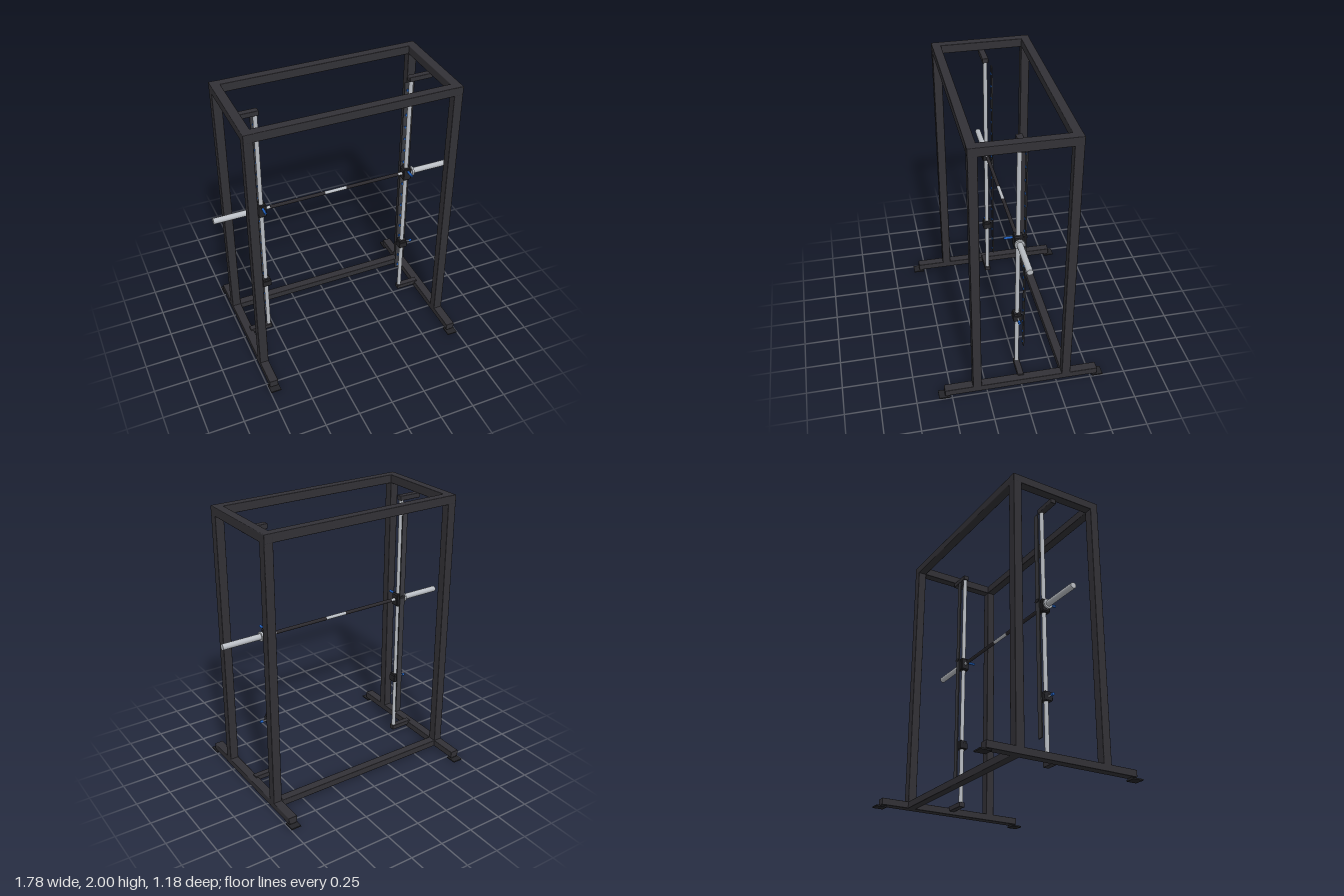
import * as THREE from 'three';
import { RoundedBoxGeometry } from 'three/addons/geometries/RoundedBoxGeometry.js';

const mat = (name, color) => new THREE.MeshStandardMaterial({ name, color });

export function createModel() {
  const model = new THREE.Group();
  model.name = 'smithRack';
  const frame = mat('frame charcoal', 0x323136);
  const dark = mat('carriage black', 0x242428);
  const grip = mat('grip black', 0x2b292d);
  const plate = mat('plate grey', 0x3a3b40);
  const steel = mat('steel', 0xb9bdc3);
  const blue = mat('handle blue', 0x1f5cb8);

  const add = (name, geo, material, x, y, z, parent = model) => {
    const mesh = new THREE.Mesh(geo, material);
    mesh.name = name;
    mesh.position.set(x, y, z);
    parent.add(mesh);
    return mesh;
  };
  const tube = (w, h, d, r = 0.005) => new RoundedBoxGeometry(w, h, d, 1, r);
  // Cylinder along a chosen axis
  const rod = (axis, r, length, sides = 24) => {
    const g = new THREE.CylinderGeometry(r, r, length, sides);
    if (axis === 'x') g.rotateZ(Math.PI / 2);
    if (axis === 'z') g.rotateX(Math.PI / 2);
    return g;
  };
  // Block with cut corners, seen from the front
  const cutBlock = (w, h, d, c) => {
    const a = w / 2, b = h / 2;
    const shape = new THREE.Shape([
      [-a + c, -b], [a - c, -b], [a, -b + c], [a, b - c],
      [a - c, b], [-a + c, b], [-a, b - c], [-a, -b + c],
    ].map(([x, y]) => new THREE.Vector2(x, y)));
    return new THREE.ExtrudeGeometry(shape, { depth: d - 0.01, bevelThickness: 0.005, bevelSize: 0.005, bevelOffset: -0.005, bevelSegments: 1 })
      .translate(0, 0, -d / 2 + 0.005);
  };

  // Cross beams: two at the top, one at the rear of the base
  for (const z of [-0.32, 0.32]) add('topCrossBeam', tube(1.37, 0.062, 0.062), frame, 0, 1.969, z);
  add('baseCrossBeam', tube(1.37, 0.049, 0.062), frame, 0, 0.0405, -0.32);

  const barY = 1.158;
  for (const s of [-1, 1]) {
    const side = new THREE.Group();
    side.name = s > 0 ? 'leftSide' : 'rightSide';
    model.add(side);
    const put = (name, geo, m, x, y, z) => add(name, geo, m, s * x, y, z, side);

    // Frame side
    put('topSideBeam', tube(0.064, 0.062, 0.704), frame, 0.709, 1.969, 0);
    put('baseRail', tube(0.064, 0.049, 1.1), frame, 0.709, 0.0405, 0);
    for (const z of [-1, 1]) {
      put('post', tube(0.064, 1.89, 0.062), frame, 0.709, 1.0, z * 0.32);
      put('footPad', new THREE.BoxGeometry(0.074, 0.009, 0.078), dark, 0.709, 0.0045, z * 0.553);
      put('footRiser', new THREE.BoxGeometry(0.05, 0.012, 0.03), dark, 0.709, 0.012, z * 0.53);
    }

    // Guide rod and its brackets
    put('topBracket', tube(0.17, 0.036, 0.044), frame, 0.614, 1.923, 0);
    put('bottomBracket', tube(0.17, 0.036, 0.044), frame, 0.614, 0.058, 0);
    put('guideRod', rod('y', 0.015, 1.84), steel, 0.55, 0.99, 0);

    // Lock plate with its row of pegs
    put('lockPlate', new THREE.BoxGeometry(0.042, 1.65, 0.008), plate, 0.55, 1.045, -0.047);
    for (let i = 0; i < 17; i++) {
      put('lockPeg', rod('z', 0.009, 0.008, 12), blue, 0.55, 0.25 + i * 0.0975, -0.041);
    }

    // Sliding carriage with rear hook and front handle
    put('carriage', cutBlock(0.062, 0.096, 0.062, 0.009), dark, 0.55, 1.156, 0);
    put('hookStem', rod('z', 0.011, 0.025, 12), dark, 0.55, 1.188, -0.037);
    const hook = new THREE.CylinderGeometry(0.012, 0.025, 0.016, 16).rotateX(Math.PI / 2);
    put('hook', hook, dark, 0.55, 1.188, -0.048).scale.y = 0.5;
    put('handleStem', rod('z', 0.006, 0.015, 12), dark, 0.55, 1.186, 0.034);
    put('handle', rod('z', 0.009, 0.057, 16), blue, 0.55, 1.186, 0.067);

    // Plate sleeve and collar
    put('sleeveHub', rod('x', 0.024, 0.02), steel, 0.585, barY, 0);
    put('collar', rod('x', 0.034, 0.014), steel, 0.598, barY, 0);
    put('sleeve', rod('x', 0.021, 0.289), steel, 0.7445, barY, 0);

    // Safety stop
    put('safetyStop', tube(0.067, 0.046, 0.064, 0.006), dark, 0.55, 0.497, 0);
    put('safetyCap', tube(0.056, 0.022, 0.054, 0.004), dark, 0.55, 0.527, 0);
    put('safetyPin', rod('x', 0.006, 0.036, 12), steel, 0.597, 0.5, 0);
    put('safetyKnob', rod('x', 0.01, 0.021, 16), blue, 0.624, 0.5, 0);

    // Bar half: knurled grip and bare end
    put('barGrip', rod('x', 0.0125, 0.406), grip, 0.284, barY, 0);
    put('barEnd', rod('x', 0.011, 0.036), steel, 0.505, barY, 0);
  }
  add('barCentre', rod('x', 0.012, 0.162), steel, 0, barY, 0);

  return model;
}
